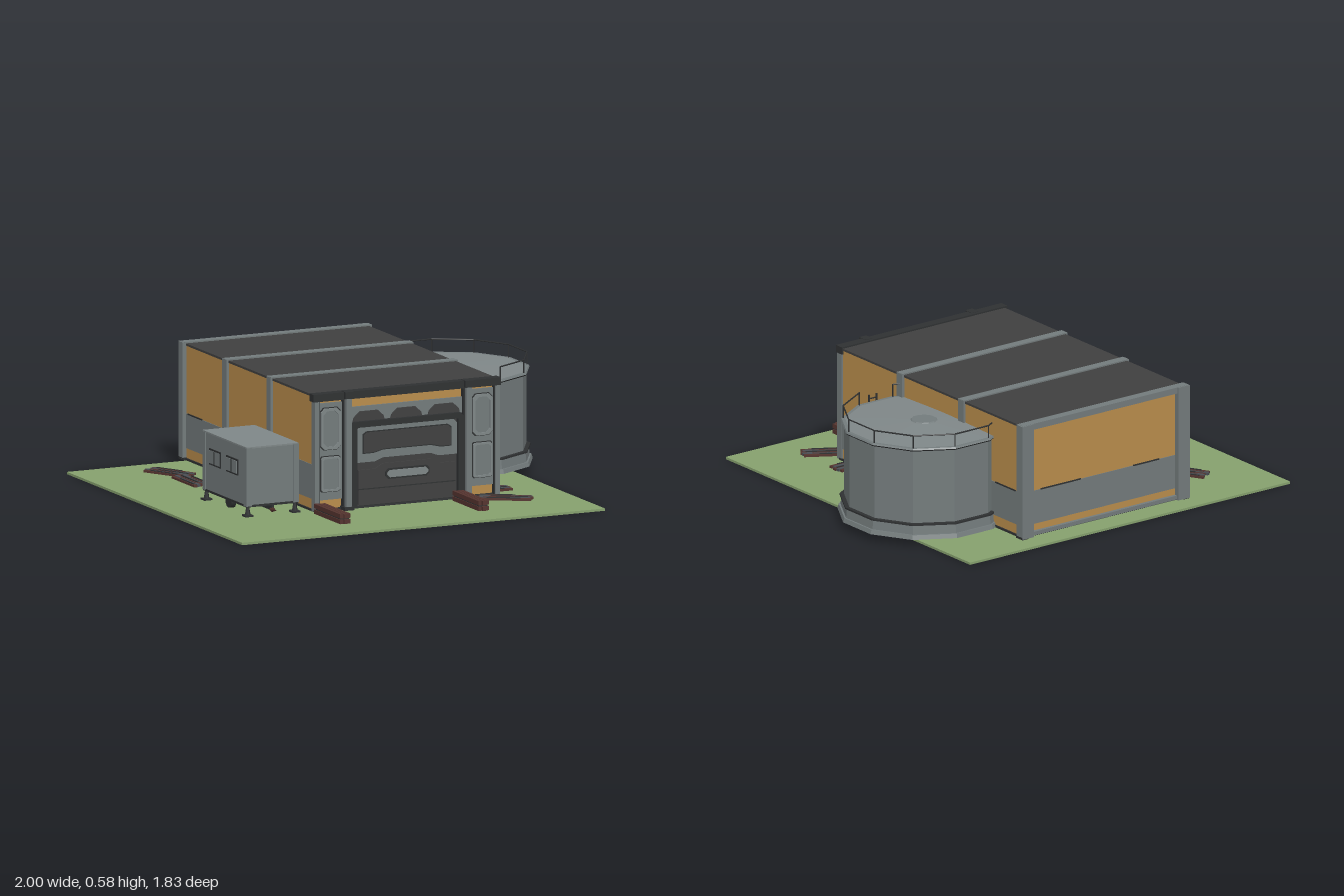
import * as THREE from 'three';

const mat = (name, color) => {
  const m = new THREE.MeshStandardMaterial({ color });
  m.name = name;
  return m;
};
const M = {
  grass: mat('grass green', 0x86a16e),
  orange: mat('ochre panel', 0xb98d4c),
  grey: mat('steel grey', 0x737b7c),
  pale: mat('pale steel', 0x7f8788),
  roof: mat('roof dark', 0x404040),
  dark: mat('charcoal trim', 0x2f3132),
  wood: mat('brown wood', 0x55342f),
  oldWood: mat('weathered wood', 0x4b4f55),
};

export function createModel() {
  const root = new THREE.Group();
  const group = (name, parent = root) => {
    const g = new THREE.Group();
    g.name = name;
    parent.add(g);
    return g;
  };
  const add = (parent, name, geo, m, x = 0, y = 0, z = 0) => {
    const mesh = new THREE.Mesh(geo, m);
    mesh.name = name;
    mesh.position.set(x, y, z);
    parent.add(mesh);
    return mesh;
  };
  // box given by its limits
  const box = (p, name, m, x0, x1, y0, y1, z0, z1) =>
    add(p, name, new THREE.BoxGeometry(x1 - x0, y1 - y0, z1 - z0), m, (x0 + x1) / 2, (y0 + y1) / 2, (z0 + z1) / 2);
  // outline in x,y extruded towards +z, optionally with a hole
  const plate = (p, name, m, pts, z, depth, hole) => {
    const s = new THREE.Shape(pts.map(a => new THREE.Vector2(...a)));
    if (hole) s.holes.push(new THREE.Path(hole.map(a => new THREE.Vector2(...a))));
    return add(p, name, new THREE.ExtrudeGeometry(s, { depth, bevelEnabled: false }), m, 0, 0, z);
  };
  // rectangle outline with cut corners
  const cut = (x0, x1, y0, y1, c) => [[x0 + c, y0], [x1 - c, y0], [x1, y0 + c], [x1, y1 - c],
    [x1 - c, y1], [x0 + c, y1], [x0, y1 - c], [x0, y0 + c]];
  const rod = (p, name, m, a, b, r) => {
    const A = new THREE.Vector3(...a), B = new THREE.Vector3(...b), d = B.clone().sub(A);
    const mesh = add(p, name, new THREE.CylinderGeometry(r, r, d.length(), 6), m);
    mesh.position.copy(A).add(B).multiplyScalar(0.5);
    mesh.quaternion.setFromUnitVectors(new THREE.Vector3(0, 1, 0), d.normalize());
  };

  box(root, 'ground', M.grass, -1, 0.835, 0, 0.011, -0.915, 0.915);

  // Hall: ochre shell with grey wall band, dark roof and steel ribs
  const hall = group('hall');
  const X0 = -0.44, X1 = 0.482, ZB = -0.845, ZF = 0.51;
  box(hall, 'shell', M.orange, X0, X1, 0.037, 0.568, ZB, ZF);
  box(hall, 'wallBand', M.grey, X0 - 0.003, X1 + 0.003, 0.09, 0.25, ZB - 0.003, ZF - 0.01);
  box(hall, 'sill', M.dark, X0 - 0.006, X1 + 0.006, 0.034, 0.044, ZB - 0.006, ZF + 0.01);
  box(hall, 'roof', M.roof, X0 - 0.003, X1 + 0.003, 0.565, 0.575, ZB, ZF + 0.02);
  for (const [a, b] of [[0.1, 0.24], [-0.8, -0.65]])
    for (const x of [X0 - 0.004, X1 + 0.004]) box(hall, 'bandTrim', M.dark, x - 0.002, x + 0.002, 0.248, 0.254, a, b);
  for (const [a, b] of [[-0.3, -0.15], [0.15, 0.38]])
    box(hall, 'backTrim', M.dark, a, b, 0.248, 0.254, ZB - 0.006, ZB - 0.002);
  for (const z of [0.06, -0.4, -0.845]) {
    const rib = group('rib', hall);
    const w = 0.021;
    box(rib, 'ribLeft', M.grey, X1 - 0.01, X1 + 0.012, 0.037, 0.58, z - w, z + w);
    box(rib, 'ribRight', M.grey, X0 - 0.014, X0 + 0.01, 0.037, 0.58, z - w, z + w);
    box(rib, 'ribTop', M.grey, X0 - 0.01, X1 + 0.01, 0.552, 0.581, z - w, z + w);
    for (const x of [X0, X1]) box(rib, 'ribFoot', M.dark, x - 0.018, x + 0.018, 0.034, 0.045, z - w - 0.004, z + w + 0.004);
  }
  for (const x of [X0 + 0.015, X1 - 0.015])
    box(hall, 'backColumn', M.grey, x - 0.033, x + 0.033, 0.037, 0.58, -0.872, -0.826);
  box(hall, 'backSill', M.grey, X0, X1, 0.04, 0.058, -0.862, -0.84);

  // Front facade, symmetric about x = C
  const front = group('facade');
  const C = 0.02;
  box(front, 'topBeam', M.dark, -0.457, 0.49, 0.547, 0.582, 0.495, 0.54);
  box(front, 'headerBand', M.grey, -0.27, 0.31, 0.43, 0.505, ZF, 0.518);
  for (const x of [-0.17, C, 0.21])
    plate(front, 'headerVent', M.roof, [[x - 0.08, 0.435], [x + 0.08, 0.435], [x + 0.075, 0.455], [x + 0.045, 0.482],
      [x - 0.045, 0.482], [x - 0.075, 0.455]], 0.518, 0.006);
  for (const s of [-1, 1]) {
    const bay = group(s > 0 ? 'leftBay' : 'rightBay', front);
    const X = (a, b) => (s > 0 ? [C + a, C + b] : [C - b, C - a]);
    const bx = (n, m, a, b, y0, y1, z0, z1) => box(bay, n, m, ...X(a, b), y0, y1, z0, z1);
    bx('cornerColumn', M.grey, 0.446, 0.468, 0.037, 0.55, 0.5, 0.535);
    bx('cornerEdge', M.dark, 0.44, 0.447, 0.037, 0.55, 0.51, 0.528);
    bx('pillar', M.grey, 0.29, 0.318, 0.037, 0.582, 0.51, 0.553);
    bx('pillarEdge', M.dark, 0.284, 0.324, 0.037, 0.55, 0.51, 0.535);
    bx('pillarCap', M.dark, 0.284, 0.324, 0.552, 0.584, 0.51, 0.557);
    bx('pillarFoot', M.dark, 0.28, 0.328, 0.034, 0.05, 0.51, 0.558);
    bx('bayPanel', M.grey, 0.324, 0.442, 0.085, 0.535, ZF, 0.518);
    const frame = (y0, y1, a, b, c, t) => {
      plate(bay, 'panelShadow', M.dark, cut(...X(a - 0.004, b + 0.004), y0 - 0.004, y1 + 0.004, c), 0.518, 0.003);
      plate(bay, 'panelRim', M.pale, cut(...X(a, b), y0, y1, c), 0.518, 0.012, cut(...X(a + t, b - t), y0 + t, y1 - t, c));
      plate(bay, 'panelInset', M.grey, cut(...X(a + t, b - t), y0 + t, y1 - t, c), 0.518, 0.006);
    };
    frame(0.32, 0.51, 0.335, 0.433, 0.018, 0.012);
    frame(0.125, 0.285, 0.337, 0.431, 0.008, 0.009);
  }

  // Gate with window panel and handle
  const gate = group('gate', front);
  const outer = [[-0.262, 0.037], [0.302, 0.037], [0.302, 0.42], [0.288, 0.437], [-0.248, 0.437], [-0.262, 0.42]];
  plate(gate, 'gateFrame', M.dark, outer, 0.51, 0.03, [[-0.235, 0.04], [0.275, 0.04], [0.275, 0.41], [-0.235, 0.41]]);
  box(gate, 'gateLeaf', M.roof, -0.237, 0.277, 0.037, 0.412, 0.508, 0.52);
  plate(gate, 'windowPanel', M.grey, [[-0.235, 0.245], [-0.14, 0.245], [-0.1, 0.26], [0.14, 0.26], [0.18, 0.245], [0.275, 0.245],
    [0.275, 0.39], [0.255, 0.408], [-0.215, 0.408], [-0.235, 0.39]], 0.52, 0.008);
  const win = g => [[-0.2 - g, 0.29 - g], [-0.15, 0.29 - g], [-0.1, 0.302 - g], [0.14, 0.302 - g], [0.19, 0.29 - g], [0.24 + g, 0.29 - g],
    [0.24 + g, 0.37 + g], [0.225, 0.383 + g], [-0.185, 0.383 + g], [-0.2 - g, 0.37 + g]];
  plate(gate, 'windowRim', M.dark, win(0.005), 0.528, 0.003);
  plate(gate, 'window', M.roof, win(0), 0.528, 0.006);
  plate(gate, 'lowerPanel', M.roof, [[-0.225, 0.05], [0.265, 0.05], [0.265, 0.21], [0.18, 0.21], [0.14, 0.232],
    [-0.1, 0.232], [-0.14, 0.21], [-0.225, 0.21]], 0.52, 0.007);
  box(gate, 'gateSeam', M.dark, -0.225, 0.265, 0.118, 0.123, 0.52, 0.529);
  plate(gate, 'handleRim', M.dark, cut(-0.09, 0.134, 0.158, 0.207, 0.015), 0.527, 0.005);
  plate(gate, 'handle', M.pale, cut(-0.082, 0.126, 0.166, 0.199, 0.013), 0.53, 0.007);

  // Twelve-sided storage tank
  const tank = group('tank');
  tank.position.set(0.615, 0, -0.282);
  const K = 1 / Math.cos(Math.PI / 12);
  const drum = (name, m, top, bottom, y0, y1) => {
    const g = new THREE.CylinderGeometry(top * K, bottom * K, y1 - y0, 12, 1, false, Math.PI / 12).toNonIndexed();
    g.computeVertexNormals();
    add(tank, name, g, m, 0, (y0 + y1) / 2, 0);
  };
  drum('tankFoot', M.grey, 0.378, 0.384, 0.035, 0.055);
  drum('tankSkirt', M.grey, 0.366, 0.37, 0.055, 0.1);
  drum('skirtLedge', M.dark, 0.374, 0.374, 0.098, 0.106);
  drum('tankWall', M.grey, 0.355, 0.355, 0.1, 0.46);
  drum('tankRim', M.dark, 0.37, 0.366, 0.455, 0.461);
  drum('rimPlate', M.grey, 0.366, 0.37, 0.461, 0.468);
  drum('tankRoof', M.pale, 0.06, 0.35, 0.468, 0.478);
  drum('tankHatch', M.grey, 0.055, 0.06, 0.478, 0.482);
  const corner = (i, y) => {
    const a = Math.PI / 12 + i * Math.PI / 6;
    return [Math.sin(a) * 0.358 * K, y, Math.cos(a) * 0.358 * K];
  };
  for (let i = 0; i < 12; i++) {
    rod(tank, 'railPost', M.dark, corner(i, 0.465), corner(i, 0.528), 0.003);
    if (i < 11) rod(tank, 'handrail', M.dark, corner(i, 0.528), corner(i + 1, 0.528), 0.0035);
  }
  for (const x of [-0.02, 0.022]) rod(tank, 'ladderRail', M.dark, [x, 0.05, 0.382], [x, 0.495, 0.382], 0.004);
  for (let i = 0; i < 15; i++) rod(tank, 'ladderRung', M.dark, [-0.02, 0.07 + i * 0.029, 0.382], [0.022, 0.07 + i * 0.029, 0.382], 0.003);

  // Box trailer on jacks
  const trailer = group('trailer');
  box(trailer, 'trailerBody', M.grey, -0.77, -0.512, 0.085, 0.35, 0.035, 0.488);
  box(trailer, 'trailerRoof', M.pale, -0.773, -0.509, 0.35, 0.357, 0.032, 0.491);
  box(trailer, 'trailerChassis', M.dark, -0.772, -0.51, 0.078, 0.088, 0.033, 0.49);
  for (const x of [-0.76, -0.522]) for (const z of [0.047, 0.477]) {
    box(trailer, 'cornerPost', M.grey, x - 0.014, x + 0.014, 0.082, 0.353, z - 0.015, z + 0.015);
    add(trailer, 'jack', new THREE.CylinderGeometry(0.007, 0.015, 0.04, 4), M.dark, x, 0.06, z);
    box(trailer, 'jackFoot', M.dark, x - 0.02, x + 0.02, 0.034, 0.042, z - 0.02, z + 0.02);
  }
  for (const z of [0.16, 0.34]) {
    box(trailer, 'windowFrame', M.dark, -0.774, -0.769, 0.21, 0.285, z - 0.06, z + 0.06);
    box(trailer, 'windowPane', M.grey, -0.777, -0.772, 0.218, 0.277, z - 0.052, z + 0.052);
    box(trailer, 'windowBar', M.dark, -0.778, -0.775, 0.218, 0.277, z - 0.003, z + 0.003);
  }
  for (const x of [-0.74, -0.542])
    add(trailer, 'wheel', new THREE.CylinderGeometry(0.032, 0.032, 0.025, 14).rotateZ(Math.PI / 2), M.dark, x, 0.067, 0.26);
  add(trailer, 'hitch', new THREE.ConeGeometry(0.014, 0.045, 4).rotateX(Math.PI / 2), M.wood, -0.642, 0.06, 0.51);
  box(trailer, 'drawbar', M.dark, -0.648, -0.636, 0.055, 0.08, 0.3, 0.495);

  // Timber: stacked beams and loose plank bundles
  for (const x of [-0.435, 0.265]) {
    const stack = group('timberStack');
    for (const y of [0.044, 0.07]) for (let i = 0; i < 3; i++)
      box(stack, 'beam', M.wood, x - 0.026 + i * 0.018, x - 0.01 + i * 0.018, y - 0.01, y + 0.01, 0.552 + i * 0.004, 0.825 + (i % 2) * 0.008);
    box(stack, 'spacer', M.dark, x - 0.022, x + 0.022, 0.052, 0.062, 0.56, 0.82);
  }
  const bundles = [[0.475, 0.62, 0.24, 0.088, -0.54], [0.49, 0.415, 0.2, 0.09, 0], [-0.645, -0.57, 0.235, 0.09, -1.06], [-0.643, -0.355, 0.235, 0.09, Math.PI / 2]];
  for (const [x, z, len, w, turn] of bundles) {
    const b = group('plankBundle');
    b.position.set(x, 0.04, z);
    b.rotation.y = turn;
    const n = 5, s = w / n;
    for (let i = 0; i < n; i++) {
      const c = -w / 2 + (i + 0.5) * s, o = (i % 3 - 1) * 0.006;
      box(b, 'plank', i % 2 ? M.oldWood : M.wood, -len / 2 + o, len / 2 + o, -0.006, 0.004 + (i % 2) * 0.002, c - s * 0.46, c + s * 0.46);
      box(b, 'plankStreak', i % 2 ? M.wood : M.dark, -len * 0.35 + o * 3, len * 0.3 + o * 5, 0.003, 0.008, c - s * 0.12, c + s * 0.15);
    }
  }
  return root;
}
